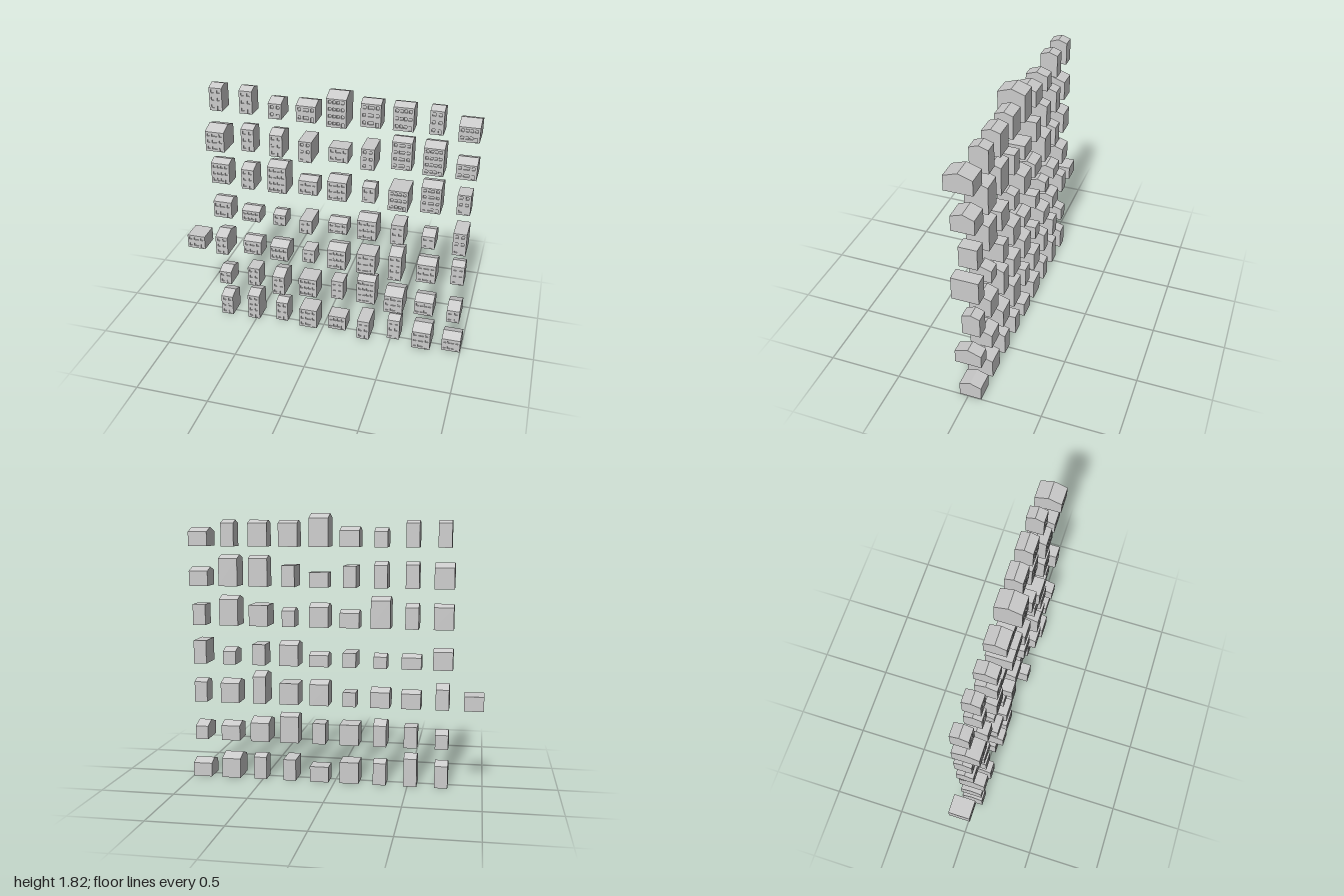
import * as THREE from 'three';

const material = new THREE.MeshStandardMaterial({ color: 0xcccccc, flatShading: true });
const COLUMN = 0.2074, ROW = 0.2675, BACK = -0.09, WALL = 0.008;
const WIDTH = { w: 0.13, n: 0.088 };

// One string per row, bottom to top. Each house: w(ide)/n(arrow), depth in hundredths,
// g(able)/f(lat) roof, height in thousandths; "-" is an empty plot.
const rows = [
  '- n15g176 n15g217 n12g171 w15f147 w12f107 n18f147 n12g176 w18g166 w15g120',
  '- n15g123 n12f144 n18g174 w15f142 n12f144 w12g203 w18g160 w15g128 n18g123',
  'w15f099 n18g168 w12g123 w15g131 n12f099 w15g171 w15f147 n18g217 w15g160 n12g160',
  '- w12g142 w12g099 n12g099 n18f099 w12g099 w15g168 n15f142 n15g115 n18f160',
  '- w12g168 n15g168 w15g211 w12g120 w15g160 n12g128 w18f142 w15g203 n12f142',
  '- w18g168 n12g176 n15g176 n18f144 w12f099 n18f144 w12g209 w15g211 w15g126',
  '- n12g176 n12g176 n15g128 w15g134 w18g219 w12g176 w12g176 n12g176 w18g128',
];

function rectHole(cx, y0, w, h) {
  const hole = new THREE.Path();
  hole.moveTo(cx - w / 2, y0);
  hole.lineTo(cx - w / 2, y0 + h);
  hole.lineTo(cx + w / 2, y0 + h);
  hole.lineTo(cx + w / 2, y0);
  hole.closePath();
  return hole;
}

// Front wall pierced by windows and a door
function frontWall(width, height, wide, variant) {
  const shape = new THREE.Shape();
  shape.moveTo(-width / 2, 0);
  shape.lineTo(width / 2, 0);
  shape.lineTo(width / 2, height);
  shape.lineTo(-width / 2, height);
  shape.closePath();
  const floors = Math.max(2, Math.round(height / 0.05));
  const step = height / floors;
  const bays = wide
    ? [[-0.042, 0.019], [variant ? -0.013 : 0, variant ? 0.019 : 0.036], [0.042, 0.019]]
    : [[-0.02, 0.019], [0.02, 0.019]];
  if (wide && variant) bays.splice(2, 0, [0.013, 0.019]);
  for (let f = 0; f < floors; f++) {
    bays.forEach(([cx, w], i) => {
      const door = f === 0 && i === bays.length - 1;
      shape.holes.push(door
        ? rectHole(cx, 0.002, 0.018, step * 0.62)
        : rectHole(cx, (f + 0.36) * step, w, step * 0.4));
    });
  }
  return new THREE.ExtrudeGeometry(shape, { depth: WALL, bevelEnabled: false });
}

// Solid body: side profile swept across the width, set back behind the front wall
function bodyGeometry(width, depth, eave, top) {
  const front = BACK + depth;
  const points = [[BACK, 0], [BACK, eave]];
  if (top > eave) points.push([BACK + depth / 2, top]);
  points.push([front, eave], [front, eave - 0.001], [front - WALL, eave - 0.001], [front - WALL, 0]);
  // shape x is -z, so that turning by 90 degrees sweeps along +x
  const shape = new THREE.Shape(points.map(([z, y]) => new THREE.Vector2(-z, y)));
  const g = new THREE.ExtrudeGeometry(shape, { depth: width, bevelEnabled: false });
  g.rotateY(Math.PI / 2);
  g.translate(-width / 2, 0, 0);
  return g;
}

function house(code, variant) {
  const wide = code[0] === 'w';
  const width = WIDTH[code[0]];
  const depth = { 12: 0.119, 15: 0.149, 18: 0.179 }[code.slice(1, 3)];
  const top = Number(code.slice(4)) / 1000;
  const eave = code[3] === 'g' ? top - depth * 0.17 : top;
  const group = new THREE.Group();
  group.name = 'house';

  const body = new THREE.Mesh(bodyGeometry(width, depth, eave, top), material);
  body.name = 'bodyAndRoof';
  const wall = new THREE.Mesh(frontWall(width, eave - 0.001, wide, variant), material);
  wall.name = 'frontWall';
  wall.position.z = BACK + depth - WALL;
  group.add(body, wall);
  return group;
}

export function createModel() {
  const model = new THREE.Group();
  model.name = 'houseGrid';
  rows.forEach((row, r) => {
    row.split(' ').forEach((code, c) => {
      if (code === '-') return;
      const h = house(code, (r + c) % 2);
      h.position.set((c - 4.5) * COLUMN, r * ROW, 0);
      model.add(h);
    });
  });
  return model;
}
